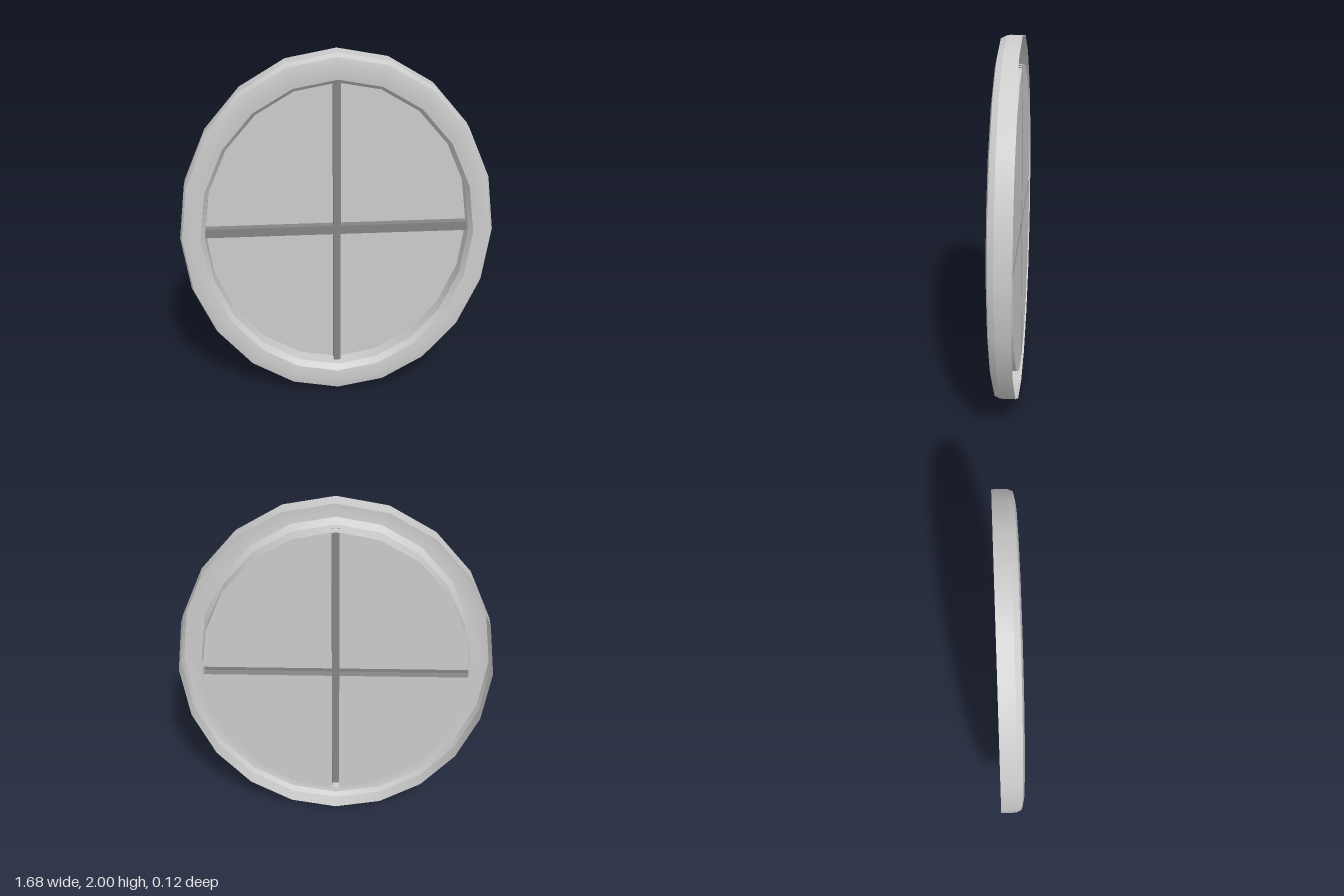
import * as THREE from 'three';

const SIDES = 20, RX = 0.84, CY = 1;
const BACK = -0.06, BAR_Z = -0.02;  // depth of the glass plane and of the bar fronts
const GX = 0.71, GY = 0.845;        // glass half sizes
const BX = 0.02, BY = 0.025;        // half widths of upright and cross bars

const frameMat = new THREE.MeshStandardMaterial({ color: 0xcccccc, side: THREE.DoubleSide });
const barMat = new THREE.MeshStandardMaterial({ color: 0x848484, side: THREE.DoubleSide });

function add(parent, name, geometry, material) {
  const mesh = new THREE.Mesh(geometry, material);
  mesh.name = name;
  parent.add(mesh);
  return mesh;
}

// Oval band swept from [radius, z] points, smooth within itself
function ovalBand(points) {
  const g = new THREE.LatheGeometry(points.map(p => new THREE.Vector2(...p)), SIDES);
  g.rotateX(Math.PI / 2);
  g.scale(RX, 1, 1);
  return g;
}

const flatShape = pts => new THREE.ShapeGeometry(new THREE.Shape(pts.map(p => new THREE.Vector2(...p))));

export function createModel() {
  const model = new THREE.Group();
  model.name = 'ovalWindow';
  const body = new THREE.Group();
  body.name = 'window';
  body.position.y = CY;
  model.add(body);

  // Frame: an open-backed shell with sharp edges between the bands
  const frame = new THREE.Group();
  frame.name = 'frame';
  body.add(frame);
  add(frame, 'outerWall', ovalBand([[1, BACK], [1, 0.02]]), frameMat);
  add(frame, 'outerBevel', ovalBand([[1, 0.02], [0.985, 0.05]]), frameMat);
  add(frame, 'frontRim', ovalBand([[0.985, 0.05], [0.935, 0.06], [0.87, 0.053]]), frameMat);
  add(frame, 'innerBevel', ovalBand([[0.87, 0.053], [GY, 0.02]]), frameMat);
  add(frame, 'innerWall', ovalBand([[GY, 0.02], [GY, BACK]]), frameMat);

  // Bars: cross-shaped front
  const bars = new THREE.Group();
  bars.name = 'bars';
  body.add(bars);
  add(bars, 'barFront', flatShape([
    [BX, BY], [BX, GY], [-BX, GY], [-BX, BY], [-GX, BY], [-GX, -BY],
    [-BX, -BY], [-BX, -GY], [BX, -GY], [BX, -BY], [GX, -BY], [GX, BY],
  ]), barMat).position.z = BAR_Z;

  // Four panes, each with the two bar sides along its inner edges
  const depth = BAR_Z - BACK, midZ = (BAR_Z + BACK) / 2;
  for (const sx of [1, -1]) for (const sy of [1, -1]) {
    const pts = [[sx * BX, sy * BY]];
    for (let k = 0; k <= SIDES / 4; k++) {
      const a = k * 2 * Math.PI / SIDES;
      pts.push([sx * Math.max(BX, GX * Math.cos(a)), sy * Math.max(BY, GY * Math.sin(a))]);
    }
    add(body, 'pane', flatShape(pts), frameMat).position.z = BACK;

    const upright = new THREE.PlaneGeometry(depth, GY - BY).rotateY(sx * Math.PI / 2);
    add(bars, 'uprightBarSide', upright, barMat).position.set(sx * BX, sy * (GY + BY) / 2, midZ);
    const cross = new THREE.PlaneGeometry(GX - BX, depth).rotateX(-sy * Math.PI / 2);
    add(bars, 'crossBarSide', cross, barMat).position.set(sx * (GX + BX) / 2, sy * BY, midZ);
  }
  return model;
}
